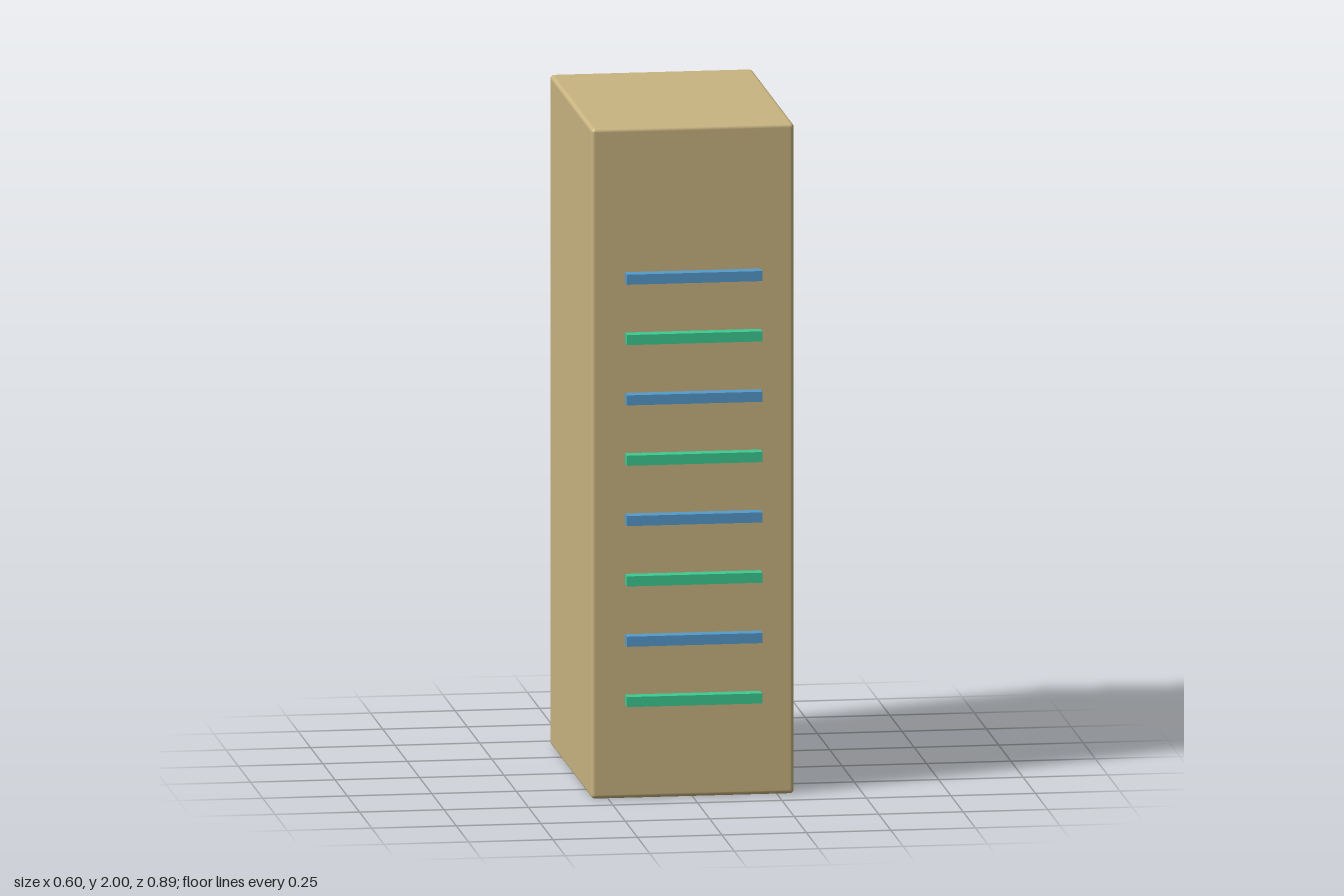
import * as THREE from 'three';
import { RoundedBoxGeometry } from 'three/addons/geometries/RoundedBoxGeometry.js';

function material(name, color) {
  const m = new THREE.MeshStandardMaterial({ color });
  m.name = name;
  return m;
}

export function createModel() {
  const model = new THREE.Group();
  model.name = 'cabinetTower';
  const tan = material('tan', 0xc9b480);
  const blue = material('blue', 0x559acb);
  const green = material('green', 0x3cca92);

  // Tall cabinet with slightly rounded edges
  const body = new THREE.Mesh(new RoundedBoxGeometry(0.6, 2, 0.85, 3, 0.012), tan);
  body.name = 'cabinet';
  body.position.set(0, 1, -0.02);
  model.add(body);

  // Light bars on the front, alternating green and blue from the bottom up
  const barGeometry = new THREE.BoxGeometry(0.4, 0.03, 0.06);
  for (let i = 0; i < 8; i++) {
    const bar = new THREE.Mesh(barGeometry, i % 2 ? blue : green);
    bar.name = `lightBar${i + 1}`;
    bar.position.set(0, 0.295 + i * 0.18, 0.415);
    model.add(bar);
  }
  return model;
}
